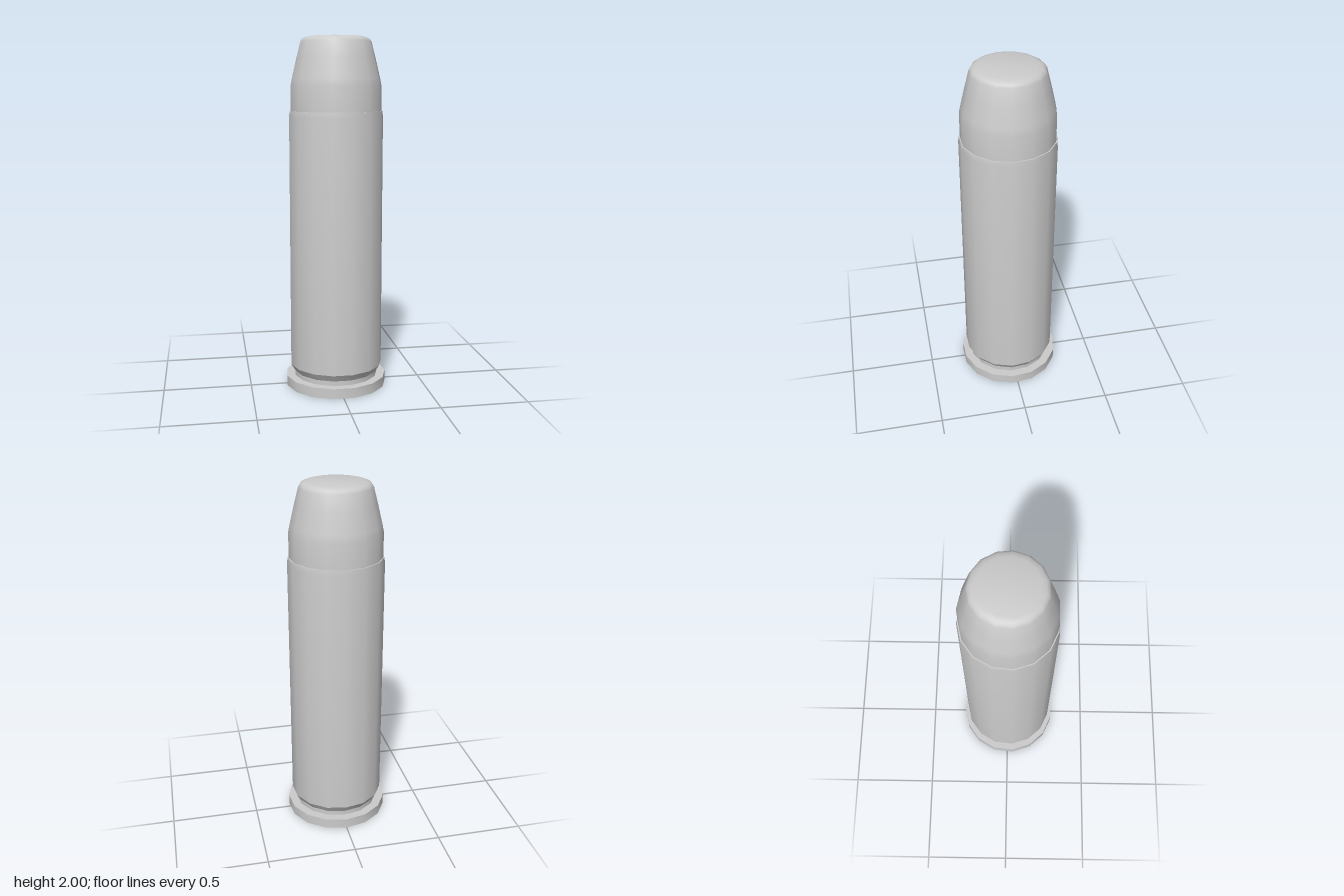
import * as THREE from 'three';
import { toCreasedNormals } from 'three/addons/utils/BufferGeometryUtils.js';

const SIDES = 15;
const material = new THREE.MeshStandardMaterial({ color: 0xcccccc });

// Turn a [radius, height] profile, listed bottom to top, with a corner at the back
function turned(name, profile, crease) {
  const points = profile.map(([r, y]) => new THREE.Vector2(r, y));
  const lathe = new THREE.LatheGeometry(points, SIDES, Math.PI);
  const mesh = new THREE.Mesh(toCreasedNormals(lathe, crease), material);
  mesh.name = name;
  return mesh;
}

export function createModel() {
  const group = new THREE.Group();
  group.name = 'cartridge';

  // Case: flat base, rim, extractor groove, straight wall, chamfered mouth
  const casing = turned('case', [
    [0, 0], [0.292, 0], [0.292, 0.058],
    [0.243, 0.058], [0.243, 0.085],
    [0.268, 0.125], [0.268, 1.56],
    [0.264, 1.59], [0.25, 1.59], [0.25, 1.54],
  ], 0.5);

  // Bullet: seated shank, tapered nose, softly rounded flat tip
  const bullet = turned('bullet', [
    [0, 1.52], [0.258, 1.52], [0.258, 1.73],
    [0.25, 1.77], [0.224, 1.88], [0.201, 1.97],
    [0.194, 1.984], [0.18, 1.993], [0.155, 2], [0, 2],
  ], 0.8);

  // An odd-sided polygon is centred on z by a slight shift
  group.add(casing, bullet);
  for (const part of group.children) part.position.z = 0.003;
  return group;
}
